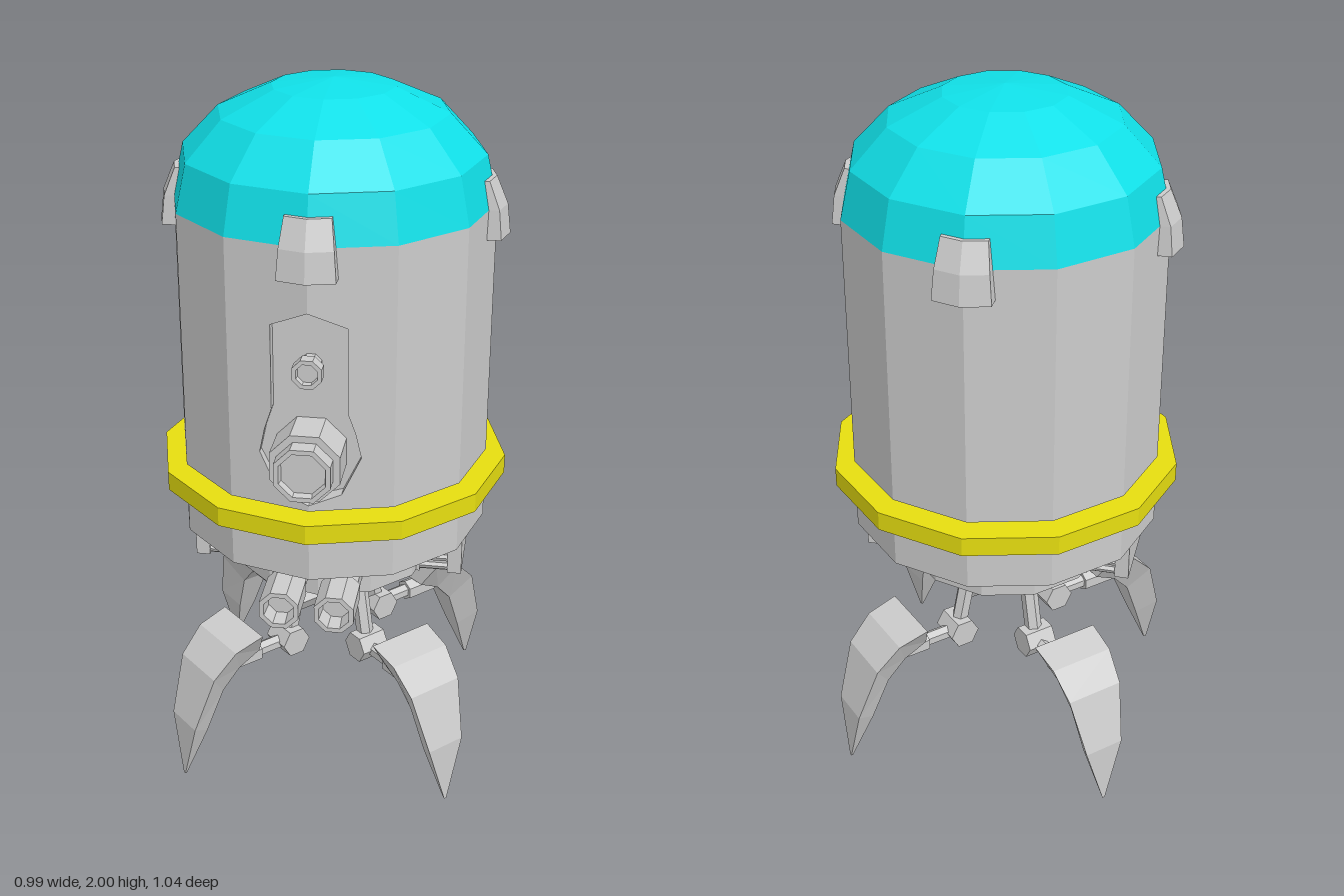
import * as THREE from 'three';

const SIDES = 12, R = 0.44, SLOPE = Math.tan(Math.PI / 12);
const material = (color, side = THREE.FrontSide) =>
  new THREE.MeshStandardMaterial({ color, side, flatShading: true });
const grey = material(0xcccccc);
const greyOpen = material(0xcccccc, THREE.DoubleSide);
const cyan = material(0x10e0e8);
const yellow = material(0xe6de10);

function add(parent, name, geometry, mat = grey, x = 0, y = 0, z = 0) {
  const mesh = new THREE.Mesh(geometry, mat);
  mesh.name = name;
  mesh.position.set(x, y, z);
  parent.add(mesh);
  return mesh;
}

// Upright prism between two heights
function drum(parent, name, r, y0, y1, mat = grey) {
  return add(parent, name, new THREE.CylinderGeometry(r, r, y1 - y0, SIDES), mat, 0, (y0 + y1) / 2, 0);
}

// Profile [radius, z] turned about the z axis
function turned(profile, sides = 8) {
  const g = new THREE.LatheGeometry(profile.map(([r, z]) => new THREE.Vector2(r, z)), sides, Math.PI / sides);
  return g.rotateX(Math.PI / 2);
}

// Prism between two points
function rod(parent, name, a, b, r, sides = 6) {
  const from = new THREE.Vector3(...a), dir = new THREE.Vector3(...b).sub(from);
  const mesh = add(parent, name, new THREE.CylinderGeometry(r, r, dir.length(), sides));
  mesh.position.copy(from).addScaledVector(dir, 0.5);
  mesh.quaternion.setFromUnitVectors(new THREE.Vector3(0, 1, 0), dir.normalize());
  return mesh;
}

// Skin over equal-sized rings of points, with optional end caps
function loft(rings, caps = true) {
  const n = rings[0].length, index = [];
  for (let i = 0; i < rings.length - 1; i++) {
    for (let j = 0; j < n; j++) {
      const k = (j + 1) % n, a = i * n, b = a + n;
      index.push(a + j, a + k, b + k, a + j, b + k, b + j);
    }
  }
  const end = (rings.length - 1) * n;
  for (let j = 1; caps && j < n - 1; j++) index.push(0, j + 1, j, end, end + j, end + j + 1);
  const g = new THREE.BufferGeometry();
  g.setAttribute('position', new THREE.Float32BufferAttribute(rings.flat(2), 3));
  g.setIndex(index);
  const flat = g.toNonIndexed();
  flat.computeVertexNormals();
  return flat;
}

// Main hull with a keyhole recess cut in its two front facets
function buildHull(parent) {
  const y0 = 0.95, y1 = 1.68, floor = 0.38;
  const hull = new THREE.Group();
  hull.name = 'hull';
  parent.add(hull);
  add(hull, 'hullWall', new THREE.CylinderGeometry(R, R, y1 - y0, 10, 1, true, Math.PI / 6, Math.PI * 5 / 3),
    grey, 0, (y0 + y1) / 2, 0);
  add(hull, 'hullUnderside', new THREE.CircleGeometry(R, SIDES).rotateX(Math.PI / 2), grey, 0, y0, 0);

  const half = [[0, 1.51], [0.1, 1.465], [0.1, 1.23], [0.12, 1.17], [0.135, 1.1], [0.085, 0.995], [0, 0.967]];
  for (const s of [1, -1]) {
    const outline = [[0, y0], [0.22, y0], [0.22, y1], [0, y1], ...half];
    const g = new THREE.ShapeGeometry(new THREE.Shape(outline.map(([x, y]) => new THREE.Vector2(s * x, y))));
    const p = g.attributes.position;
    for (let i = 0; i < p.count; i++) p.setZ(i, R - Math.abs(p.getX(i)) * SLOPE);
    g.computeVertexNormals();
    add(hull, 'frontFacet', g);
  }
  const keyhole = [...half, ...half.slice(1, -1).reverse().map(([x, y]) => [-x, y])];
  add(hull, 'recessWall', loft([
    keyhole.map(([x, y]) => [x, y, R - Math.abs(x) * SLOPE]),
    keyhole.map(([x, y]) => [x, y, floor]),
  ], false), greyOpen);
  add(hull, 'recessFloor', new THREE.ShapeGeometry(
    new THREE.Shape(keyhole.map(([x, y]) => new THREE.Vector2(x, y)))), grey, 0, 0, floor);

  // Large lens and small sensor inside the recess
  add(hull, 'lens', turned([[0.1, 0.37], [0.1, 0.495], [0.08, 0.495], [0.08, 0.54],
    [0.066, 0.54], [0.062, 0.52], [0, 0.52]]), grey, 0, 1.105, 0);
  add(hull, 'sensor', turned([[0.03, 0.37], [0.03, 0.42], [0.042, 0.42], [0.042, 0.455],
    [0.03, 0.455], [0.028, 0.44], [0, 0.44]]), grey, 0, 1.35, 0);
}

// Bent clip over the dome seam: [y, inner, outer, half width]
function buildClip() {
  return loft([[1.6, 0.43, 0.478, 0.076], [1.68, 0.425, 0.468, 0.07], [1.755, 0.4, 0.436, 0.06]]
    .map(([y, a, b, w]) => {
      const d = w * SLOPE;
      return [[0, y, b], [w, y, b - d], [w, y, a - d], [0, y, a], [-w, y, a - d], [-w, y, b - d]];
    }));
}

// Jointed leg with a curved claw, reaching along +z
function buildLeg() {
  const leg = new THREE.Group();
  leg.name = 'leg';
  rod(leg, 'hipMount', [0, 0.61, 0.118], [0, 0.55, 0.122], 0.05);
  rod(leg, 'upperSleeve', [0, 0.56, 0.122], [0, 0.51, 0.13], 0.036);
  rod(leg, 'upperStrut', [0, 0.52, 0.128], [0, 0.34, 0.166], 0.025);
  rod(leg, 'knee', [-0.045, 0.34, 0.168], [0.045, 0.34, 0.168], 0.046);
  rod(leg, 'lowerStrut', [0, 0.335, 0.17], [0, 0.335, 0.37], 0.021);
  rod(leg, 'clawSocket', [0, 0.335, 0.28], [0, 0.335, 0.38], 0.032);
  // [outer r, outer y, inner r, inner y, half width]
  const sections = [[0.325, 0.45, 0.305, 0.37, 0.1], [0.415, 0.425, 0.375, 0.335, 0.096],
    [0.485, 0.355, 0.43, 0.275, 0.086], [0.54, 0.19, 0.48, 0.15, 0.06], [0.547, 0.005, 0.54, 0.005, 0.004]];
  add(leg, 'claw', loft(sections.map(([ro, yo, ri, yi, w]) =>
    [[w, yo, ro], [-w, yo, ro], [-w * 0.5, yi, ri], [w * 0.5, yi, ri]])));
  return leg;
}

export function createModel() {
  const model = new THREE.Group();
  model.name = 'robotProbe';
  const body = new THREE.Group();
  body.name = 'body';
  body.position.z = -0.023;
  model.add(body);

  buildHull(body);
  const dome = [[R, 1.68], [0.41, 1.81], [0.31, 1.915], [0.165, 1.98], [0, 2]];
  add(body, 'dome', new THREE.LatheGeometry(dome.map(([r, y]) => new THREE.Vector2(r, y)), SIDES), cyan);

  // Stacked waist
  drum(body, 'neck', 0.31, 0.84, 0.96);
  drum(body, 'ring', 0.495, 0.88, 0.935, yellow);
  drum(body, 'collar', R, 0.74, 0.86);
  drum(body, 'base', 0.29, 0.6, 0.75);

  for (const s of [1, -1]) {
    // Side vent box with slats on its front and back
    add(body, 'ventBox', new THREE.BoxGeometry(0.17, 0.14, 0.2), grey, s * 0.305, 0.67, 0);
    for (const f of [1, -1]) {
      for (const dx of [-0.055, 0.065]) {
        add(body, 'ventFrame', new THREE.BoxGeometry(0.04, 0.14, 0.02), grey, s * (0.305 + dx), 0.67, f * 0.105);
      }
      for (let i = 0; i < 5; i++) {
        const slat = add(body, 'ventSlat', new THREE.BoxGeometry(0.1, 0.012, 0.022), grey,
          s * 0.31, 0.616 + i * 0.027, f * 0.1);
        slat.rotation.x = f * 0.4;
      }
    }
    // Front barrel with a hollow muzzle
    add(body, 'barrel', turned([[0.05, 0.2], [0.05, 0.35], [0.058, 0.36], [0.058, 0.493],
      [0.044, 0.493], [0.04, 0.44], [0, 0.44]]), grey, s * 0.075, 0.667, 0);
  }

  for (let i = 0; i < 4; i++) {
    add(body, 'clip', buildClip()).rotation.y = i * Math.PI / 2;
    const leg = buildLeg();
    leg.rotation.y = (i + 0.5) * Math.PI / 2;
    body.add(leg);
  }
  return model;
}
